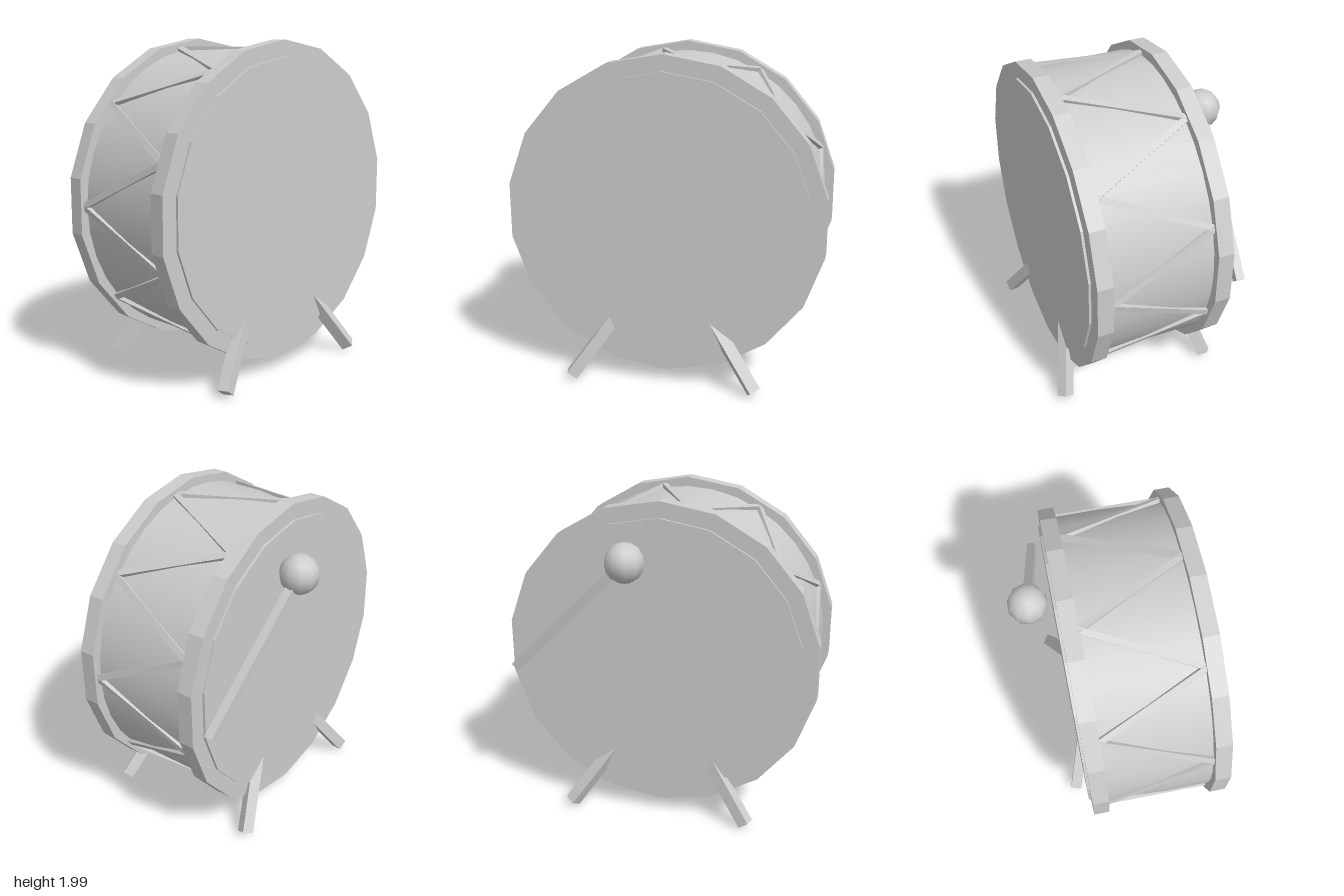
import * as THREE from 'three';

const SIDES = 18;
const CENTRE_Y = 1.045;

export function createModel() {
  const group = new THREE.Group();
  group.name = 'drum';
  const grey = new THREE.MeshStandardMaterial({ color: 0xcccccc });
  grey.name = 'plainGrey';
  const flatGrey = grey.clone();
  flatGrey.flatShading = true;

  const add = (geometry, name, material = grey) => {
    const mesh = new THREE.Mesh(geometry, material);
    mesh.name = name;
    group.add(mesh);
    return mesh;
  };

  // Cylinder lying along z, between two depths
  const disc = (name, radius, z0, z1, sides, material) => {
    const g = new THREE.CylinderGeometry(radius, radius, z1 - z0, sides);
    g.rotateX(Math.PI / 2);
    add(g, name, material).position.set(0, CENTRE_Y, (z0 + z1) / 2);
  };

  // Square bar from a to b; "facing" is the direction one side looks in
  const bar = (name, a, b, width, depth, facing, roll = 0) => {
    const dir = b.clone().sub(a);
    const length = dir.length();
    dir.normalize();
    const side = dir.clone().cross(facing).normalize();
    const out = side.clone().cross(dir);
    const g = new THREE.BoxGeometry(width, length, depth);
    g.rotateY(roll);
    g.applyMatrix4(new THREE.Matrix4().makeBasis(side, dir, out));
    add(g, name).position.copy(a).lerp(b, 0.5);
  };

  // Shell, hoops and drum skins
  disc('shell', 0.897, -0.3, 0.43, 36, grey);
  disc('frontHoop', 0.955, 0.38, 0.475, SIDES, flatGrey);
  disc('backHoop', 0.955, -0.34, -0.245, SIDES, flatGrey);
  disc('frontSkin', 0.86, 0.4, 0.49, SIDES, flatGrey);
  disc('backSkin', 0.86, -0.355, -0.27, SIDES, flatGrey);

  // Zigzag lacing between the hoops
  const lacePoint = (i) => {
    const t = (i * Math.PI * 2) / SIDES;
    return new THREE.Vector3(
      0.9 * Math.cos(t), CENTRE_Y + 0.9 * Math.sin(t), i % 2 ? -0.25 : 0.385);
  };
  for (let i = 0; i < SIDES; i++) {
    const t = ((i + 0.5) * Math.PI * 2) / SIDES;
    const radial = new THREE.Vector3(Math.cos(t), Math.sin(t), 0);
    bar('lace', lacePoint(i), lacePoint(i + 1), 0.036, 0.044, radial);
  }

  // Four splayed legs running into the skins
  const middleZ = 0.0675;
  for (const sx of [-1, 1]) {
    for (const sz of [-1, 1]) {
      const foot = new THREE.Vector3(sx * 0.562, 0.037, middleZ + sz * 0.487);
      const top = new THREE.Vector3(sx * 0.27, 0.45, middleZ + sz * 0.365);
      const roll = sx < 0 ? 0.15 * sz : 0.6 * sz;
      bar('leg', foot, top, 0.07, 0.07, new THREE.Vector3(0, 0, sz), roll);
    }
  }

  // Mallet behind the back skin
  const head = new THREE.Vector3(0.16, 1.675, -0.495);
  const tip = new THREE.Vector3(0.89, 0.945, -0.42);
  add(new THREE.SphereGeometry(0.117, 10, 8), 'malletHead').position.copy(head);
  bar('malletStick', head, tip, 0.055, 0.052, new THREE.Vector3(0, 0, -1));

  return group;
}
